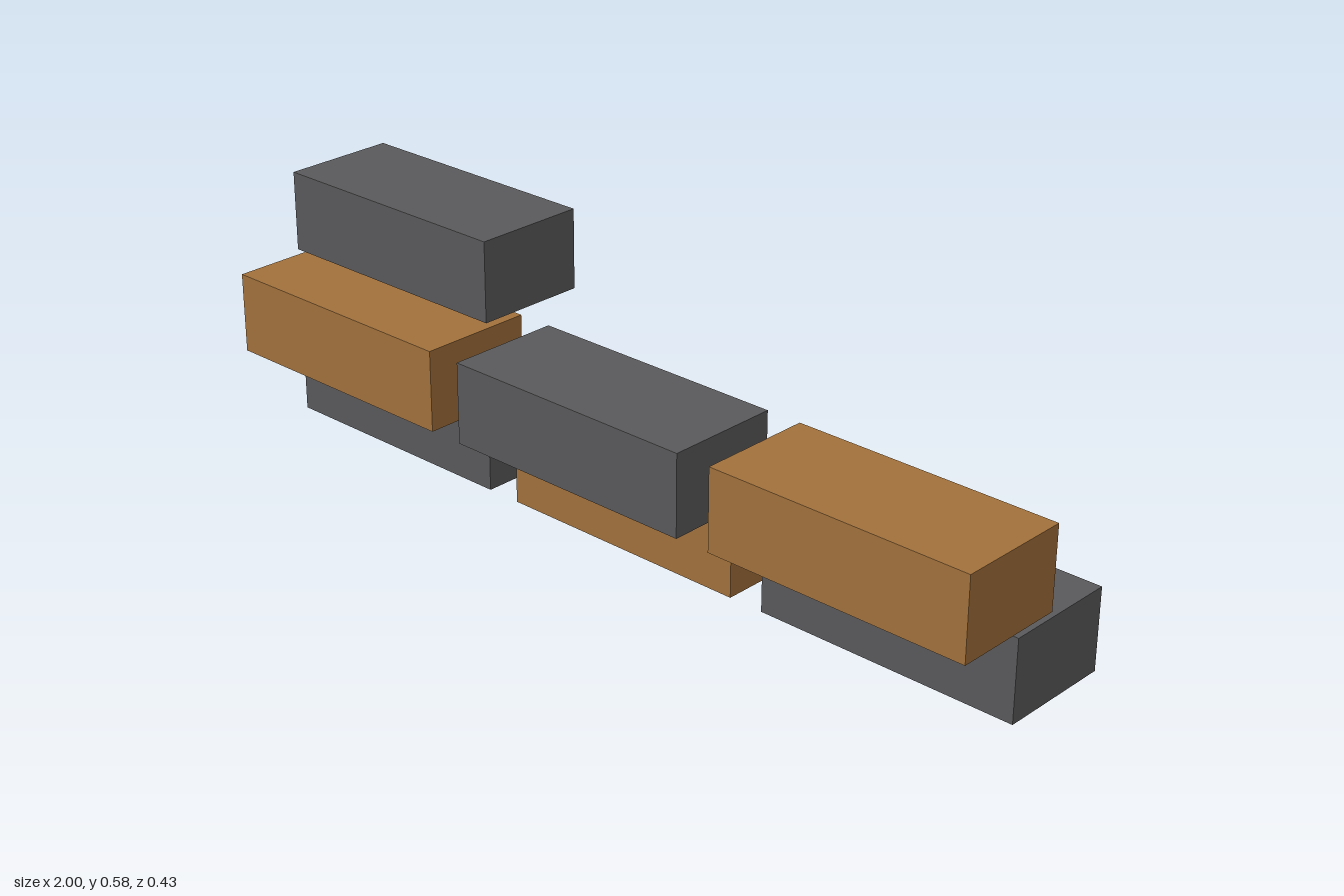
import * as THREE from 'three';

export function createModel() {
  const model = new THREE.Group();
  model.name = 'stackedBlocks';

  const grey = new THREE.MeshStandardMaterial({ name: 'darkGrey', color: 0x5a5a5c });
  const wood = new THREE.MeshStandardMaterial({ name: 'woodBrown', color: 0xa2713c });

  const width = 0.612, height = 0.184, depth = 0.265;
  const columnStep = 0.694, rowStep = 0.1967, offsetZ = 0.081;
  const block = new THREE.BoxGeometry(width, height, depth);

  // Each column lists its blocks from the bottom up: grey or wood, set back or forward
  const columns = [
    { name: 'right', x: -columnStep, blocks: [[grey, -1], [wood, 1], [grey, -1]] },
    { name: 'middle', x: 0, blocks: [[wood, -1], [grey, 1]] },
    { name: 'left', x: columnStep, blocks: [[grey, -1], [wood, 1]] },
  ];
  const rows = ['Lower', 'Middle', 'Upper'];

  for (const { name, x, blocks } of columns) {
    const column = new THREE.Group();
    column.name = `${name}Column`;
    column.position.x = x;
    blocks.forEach(([material, side], row) => {
      const mesh = new THREE.Mesh(block, material);
      mesh.name = `${name}${rows[row]}Block`;
      mesh.position.set(0, height / 2 + row * rowStep, side * offsetZ);
      column.add(mesh);
    });
    model.add(column);
  }
  return model;
}
